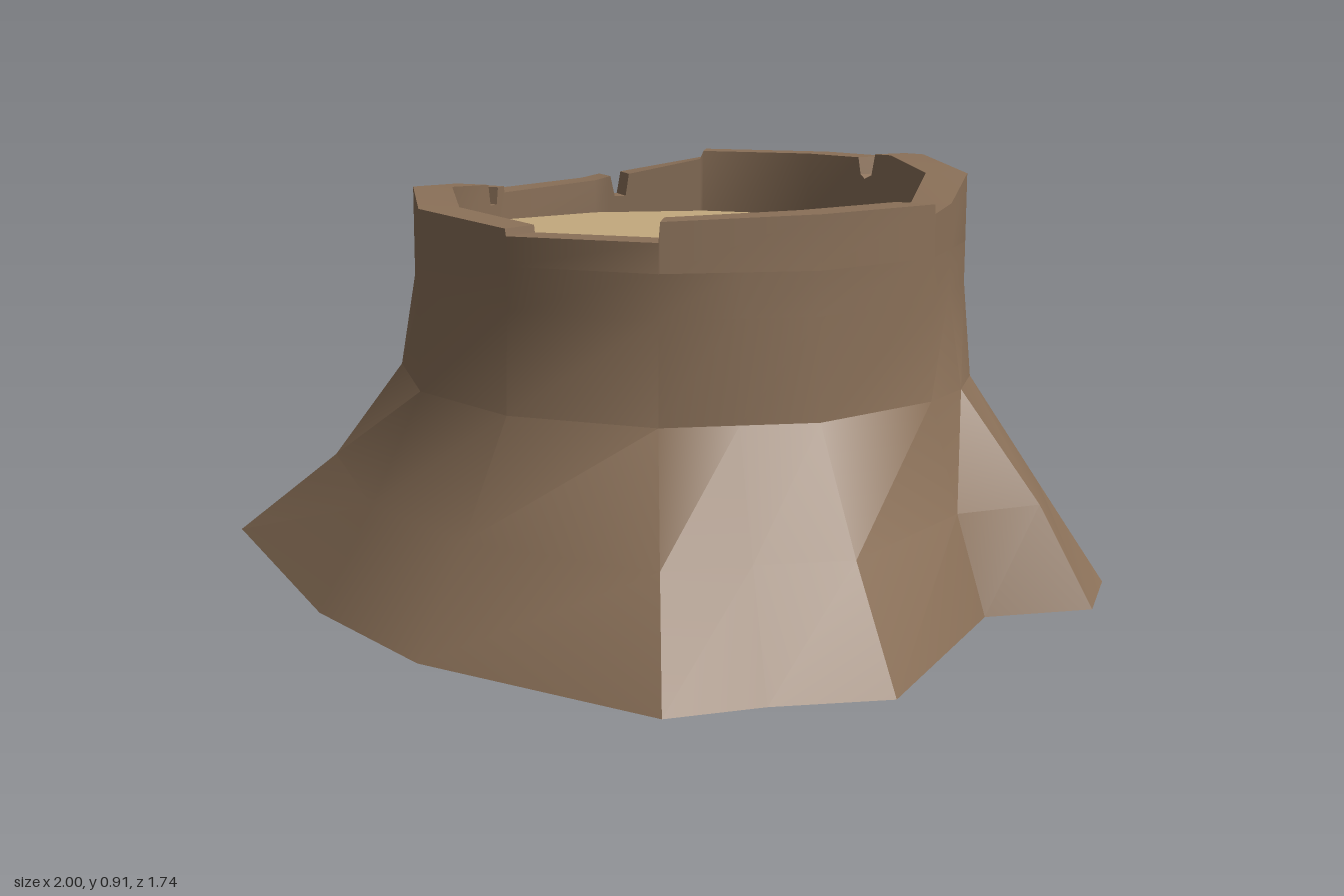
import * as THREE from 'three';
import { toCreasedNormals } from 'three/addons/utils/BufferGeometryUtils.js';

const CX = 0.08, CZ = -0.03, OUTER = 0.62, INNER = 0.53, RIM_BASE = 0.74;

// point on a twelve-sided ring; k = 0 at +x, growing towards +z
function ringPoint(k, r, y) {
  const corner = (n) => {
    const a = n * Math.PI / 6;
    return new THREE.Vector3(CX + r * Math.cos(a), y, CZ + r * Math.sin(a));
  };
  const n = Math.floor(k + 1e-6);
  return corner(n).lerp(corner(n + 1), Math.max(0, k - n));
}

// skin over columns of points, each listed from the bottom outside upwards
function skin(columns, crease) {
  const rows = columns[0].length, pos = [], index = [];
  columns.forEach((c) => c.forEach((p) => pos.push(p.x, p.y, p.z)));
  for (let i = 0; i < columns.length; i++) {
    const n = (i + 1) % columns.length;
    for (let j = 0; j < rows - 1; j++) {
      const a = i * rows + j, b = n * rows + j;
      index.push(a, a + 1, b, b, a + 1, b + 1);
    }
  }
  const g = new THREE.BufferGeometry();
  g.setAttribute('position', new THREE.Float32BufferAttribute(pos, 3));
  g.setIndex(index);
  return toCreasedNormals(g, crease);
}

export function createModel() {
  const group = new THREE.Group();
  const bark = new THREE.MeshStandardMaterial({ color: 0x8a7058 });
  const wood = new THREE.MeshStandardMaterial({ color: 0xc3a97e });
  const add = (name, geometry, material) => {
    const mesh = new THREE.Mesh(geometry, material);
    mesh.name = name;
    group.add(mesh);
  };

  // root outline on the ground: ring position, x, z, flare at y 0.21 and 0.44
  const roots = [
    [0, 0.84, -0.03], [1, 0.92, 0.5], [1.5, 0.75, 0.67], [2, 0.63, 0.83],
    [3, 0.08, 0.87], [4, -0.3, 0.76], [5, -0.93, 0.41, 0.45, 0.08],
    [5.5, -1, 0.16, 0.45, 0.13], [6, -0.67, -0.03], [7, -0.57, -0.4],
    [7.5, -0.53, -0.69], [8, -0.35, -0.87], [9, 0.08, -0.79],
    [9.6, 0.35, -0.87], [10, 0.47, -0.84], [10.5, 0.68, -0.6],
    [11, 0.94, -0.41, 0.55, 0.06], [11.5, 1, -0.21, 0.64, 0.1],
  ];
  const trunk = roots.map(([k, x, z, low = 0.5, mid = 0.02]) => {
    const level = (y, flare) => ringPoint(k, OUTER, y).lerp(new THREE.Vector3(x, y, z), flare);
    return [level(0, 1), level(0.21, low), level(0.44, mid), level(0.65, 0), level(RIM_BASE, 0)];
  });
  add('trunk', skin(trunk, 0.55), bark);

  // flat underside
  const outline = new THREE.Shape(roots.map(([, x, z]) => new THREE.Vector2(x, z)));
  add('underside', new THREE.ShapeGeometry(outline).rotateX(Math.PI / 2), bark);

  // broken bark rim: ring position and height, with steps and chips
  const rim = [
    [0, 0.85], [1, 0.85], [1.99, 0.84], [2, 0.8], [3, 0.8], [3.01, 0.815], [4, 0.83],
    [5, 0.85], [5.68, 0.84], [5.72, 0.79], [5.84, 0.79], [5.87, 0.83], [5.99, 0.83], [6, 0.815],
    [7, 0.83], [7.14, 0.84], [7.18, 0.79], [7.28, 0.79], [7.31, 0.845], [7.97, 0.88], [8, 0.9],
    [9, 0.9], [9.62, 0.9], [9.65, 0.86], [9.7, 0.85], [9.78, 0.86], [9.82, 0.91], [10, 0.91],
    [11, 0.89], [11.5, 0.838], [11.99, 0.83],
  ].map(([k, h]) => [
    ringPoint(k, OUTER, RIM_BASE), ringPoint(k, OUTER, h),
    ringPoint(k, INNER, h), ringPoint(k, INNER, RIM_BASE),
  ]);
  add('barkRim', skin(rim, 0.55), bark);

  // sawn wood face inside the rim
  const face = new THREE.CircleGeometry(INNER, 12).rotateX(-Math.PI / 2);
  add('cutFace', face.translate(CX, RIM_BASE + 0.01, CZ), wood);

  return group;
}
